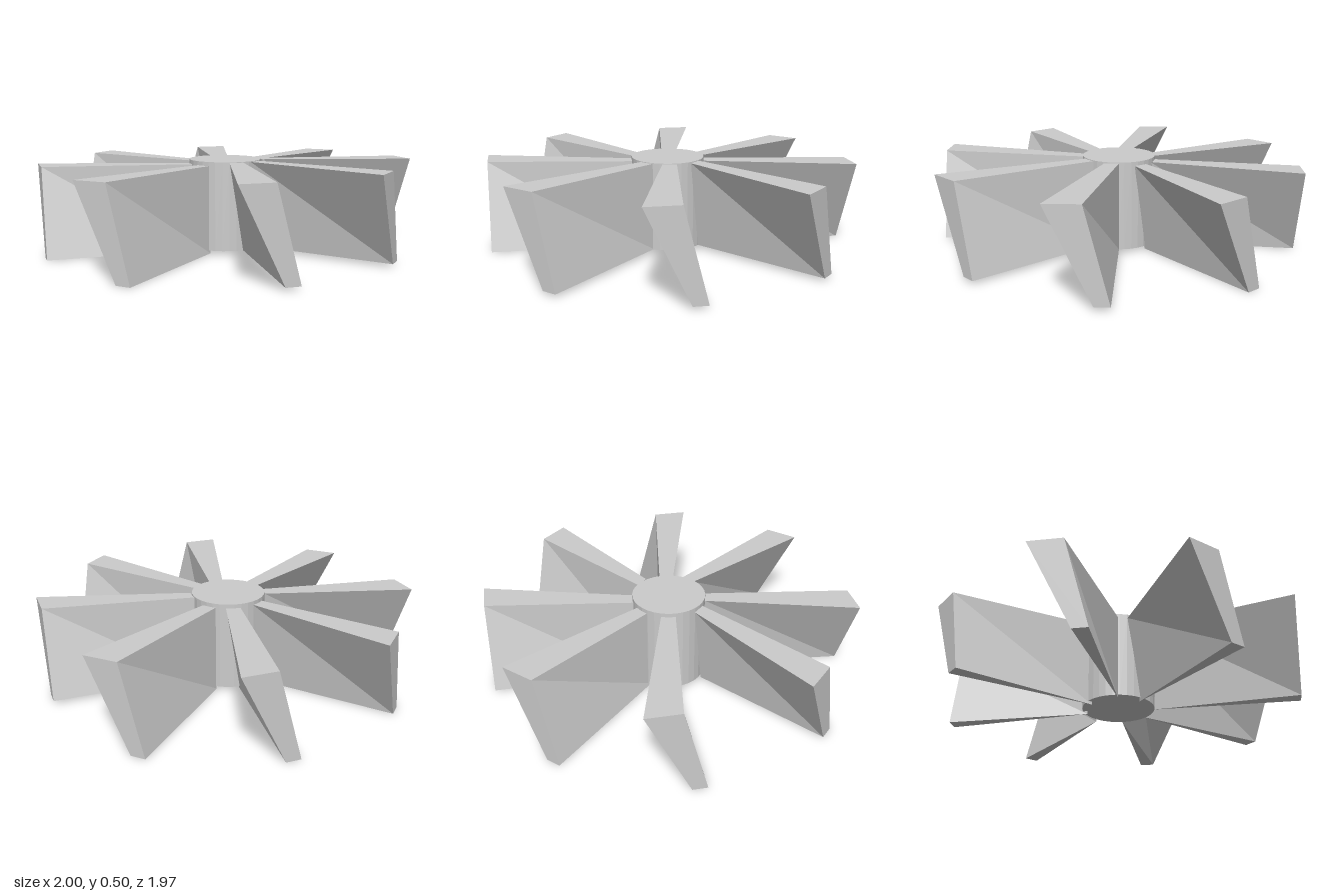
import * as THREE from 'three';

const material = new THREE.MeshStandardMaterial({ color: 0xcccccc, flatShading: true });

// Twisted wedge blade pointing along +x; the top leans toward +z and widens outward.
function bladeGeometry(length, height) {
  const L = length, H = height;
  const corners = [
    [0, 0, -0.02],     // 0 root, bottom
    [0, H, -0.02],     // 1 root, top near
    [0, H, 0.058],     // 2 root, top far
    [L, 0, -0.02],     // 3 tip, bottom near
    [L, 0, 0.06],      // 4 tip, bottom far
    [L, H, 0.105],     // 5 tip, top near
    [L, H, 0.29],      // 6 tip, top far
  ];
  const faces = [
    [0, 1, 5], [0, 5, 3],   // near side
    [2, 0, 4], [2, 4, 6],   // far side
    [1, 2, 6], [1, 6, 5],   // top
    [0, 3, 4],              // bottom
    [3, 5, 6], [3, 6, 4],   // tip
    [0, 2, 1],              // root
  ];
  const geometry = new THREE.BufferGeometry();
  geometry.setAttribute('position',
    new THREE.Float32BufferAttribute(faces.flat().flatMap((i) => corners[i]), 3));
  geometry.computeVertexNormals();
  return geometry;
}

export function createModel() {
  const model = new THREE.Group();
  model.name = 'paddleWheel';

  // Central hub
  const hub = new THREE.Mesh(new THREE.CylinderGeometry(0.2, 0.2, 0.487, 32), material);
  hub.name = 'hub';
  hub.position.set(0, 0.2615, -0.01);
  model.add(hub);

  // Blades, slightly uneven in seating: root radius, sideways shift, base height
  const seats = [
    [0.2, 0, 0.018],
    [0.18, -0.003, 0.018],
    [0.18, -0.02, 0.018],
    [0.18, 0.022, 0],
    [0.2, 0, 0],
    [0.185, 0.025, 0],
    [0.185, 0.022, 0],
    [0.2, -0.004, 0],
  ];
  const geometry = bladeGeometry(0.8, 0.483);
  seats.forEach(([radius, shift, base], i) => {
    const arm = new THREE.Group();
    arm.name = `bladeArm${i + 1}`;
    arm.rotation.y = -i * Math.PI / 4;
    const blade = new THREE.Mesh(geometry, material);
    blade.name = `blade${i + 1}`;
    blade.position.set(radius, base, shift);
    arm.add(blade);
    model.add(arm);
  });
  return model;
}
